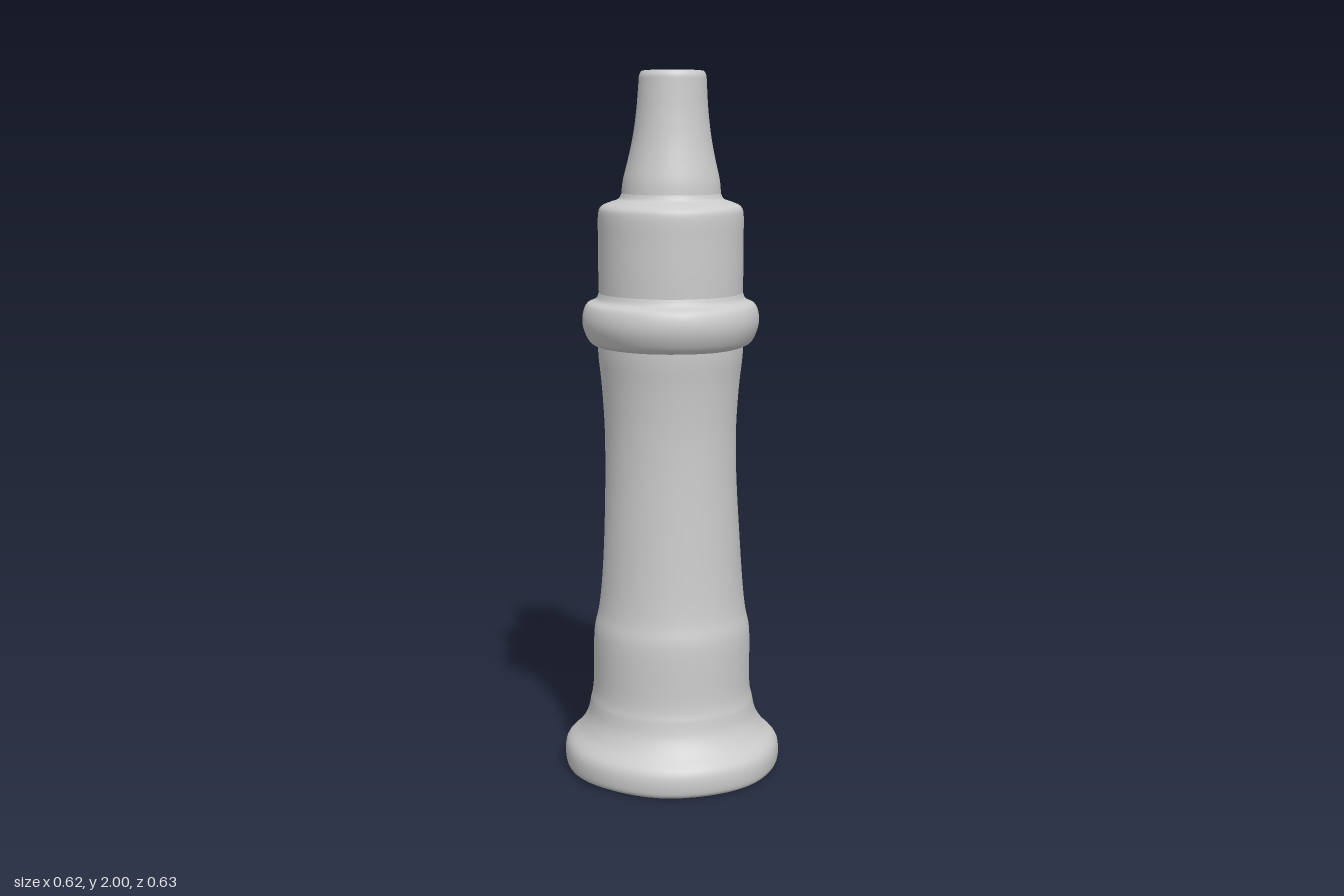
import * as THREE from 'three';

const material = new THREE.MeshStandardMaterial({ color: 0xcccccc });

// Slight hand-worked unevenness, continuous across the joints between parts
function wobble(geometry) {
  const p = geometry.attributes.position;
  for (let i = 0; i < p.count; i++) {
    const x = p.getX(i), y = p.getY(i), z = p.getZ(i);
    const a = Math.atan2(x, z);
    const s = 1 + 0.009 * Math.sin(3 * a + 4 * y) + 0.006 * Math.sin(7 * a - 9 * y);
    p.setX(i, x * s - 0.004 * Math.sin(Math.PI * y / 2));
    p.setZ(i, z * s);
  }
  return geometry;
}

// Turned part from [radius, height] pairs listed bottom to top
function turned(name, pairs, smooth = true) {
  let points = pairs.map(([r, y]) => new THREE.Vector2(r, y));
  if (smooth) points = new THREE.SplineCurve(points).getPoints(pairs.length * 4);
  const mesh = new THREE.Mesh(wobble(new THREE.LatheGeometry(points, 56)), material);
  mesh.name = name;
  return mesh;
}

export function createModel() {
  const group = new THREE.Group();
  group.name = 'turnedColumn';
  group.add(
    turned('underside', [[0, 0], [0.295, 0]], false),
    // Flared foot
    turned('foot', [[0.295, 0], [0.309, 0.012], [0.312, 0.05], [0.302, 0.08], [0.268, 0.115],
      [0.245, 0.155], [0.235, 0.2]]),
    // Thick lower sleeve and waisted shaft
    turned('shaft', [[0.235, 0.2], [0.227, 0.25], [0.225, 0.4], [0.212, 0.47], [0.203, 0.55],
      [0.195, 0.68], [0.188, 0.85], [0.187, 1], [0.194, 1.12], [0.203, 1.2], [0.205, 1.235]]),
    // Rounded ring
    turned('collar', [[0.205, 1.235], [0.228, 1.248], [0.246, 1.285], [0.249, 1.32],
      [0.238, 1.352], [0.212, 1.366], [0.203, 1.385]]),
    // Upper drum with a softened shoulder
    turned('drum', [[0.203, 1.385], [0.204, 1.45], [0.204, 1.53], [0.204, 1.6], [0.196, 1.625],
      [0.172, 1.637], [0.148, 1.646], [0.139, 1.662]]),
    // Tapered neck
    turned('neck', [[0.139, 1.662], [0.135, 1.7], [0.121, 1.76], [0.109, 1.82], [0.1, 1.89],
      [0.095, 1.96], [0.093, 1.985], [0.086, 1.998]]),
    turned('neckTop', [[0.086, 1.998], [0.06, 2], [0, 2]], false),
  );
  return group;
}
